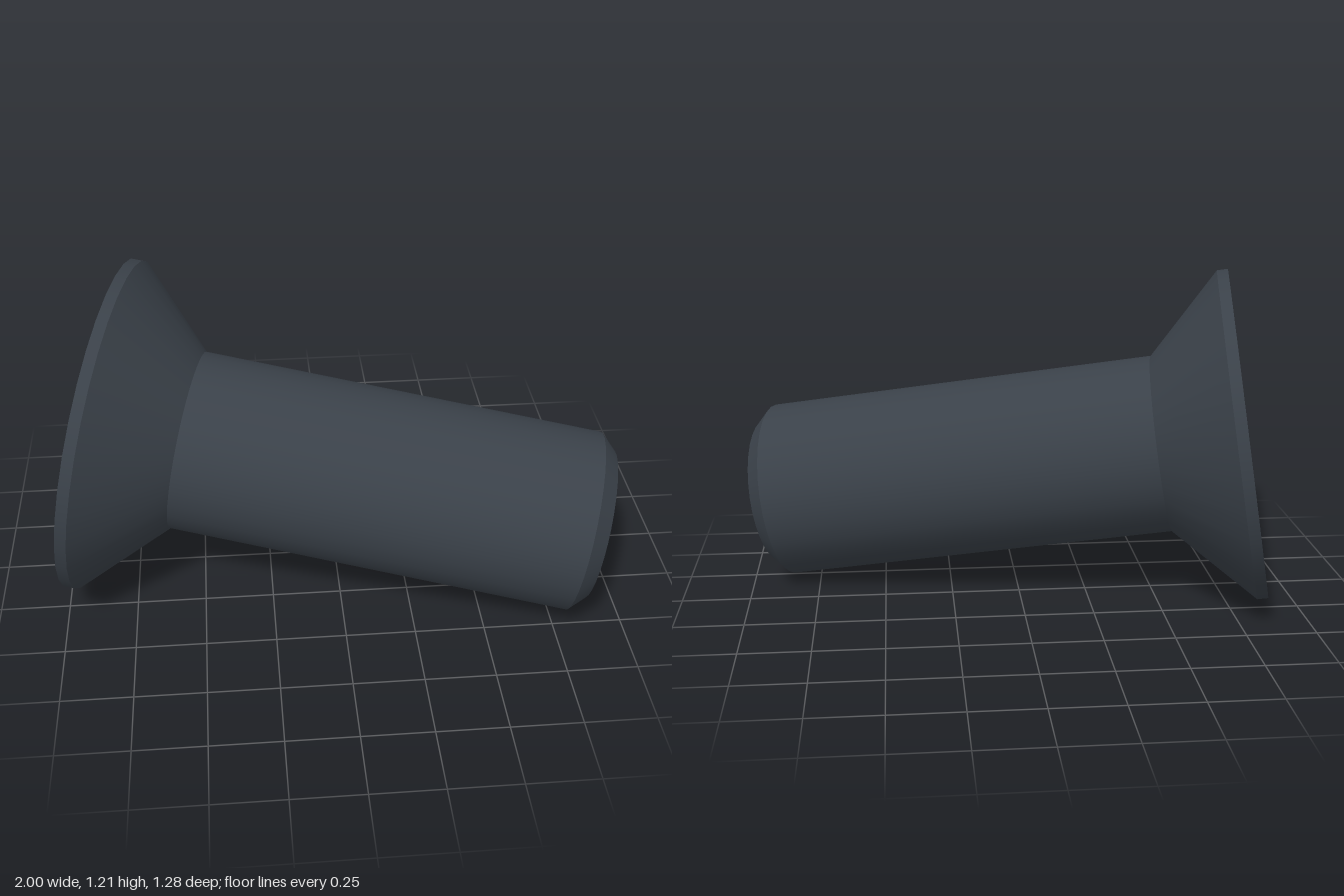
import * as THREE from 'three';

export function createModel() {
  const model = new THREE.Group();
  model.name = 'countersunkScrew';
  const darkSteel = new THREE.MeshStandardMaterial({ color: 0x3a4149 });
  darkSteel.name = 'dark steel';

  const SIDES = 32;
  const HEAD_R = 0.607, SHAFT_R = 0.328, TIP_R = 0.272, LENGTH = 1.834;
  const ARM = 0.3, HALF = 0.065, DEPTH = 0.22; // cross recess

  // The screw is built along local +Y, with the head face at y = 0.
  const screw = new THREE.Group();
  screw.name = 'screw';
  const add = (name, geometry) => {
    const mesh = new THREE.Mesh(geometry, darkSteel);
    mesh.name = name;
    screw.add(mesh);
  };

  // Turned bands, kept separate so the edges between them stay sharp
  const band = (name, r0, y0, r1, y1) => add(name, new THREE.LatheGeometry(
    [new THREE.Vector2(r0, y0), new THREE.Vector2(r1, y1)], SIDES));
  band('headRim', HEAD_R, 0, HEAD_R, 0.04);
  band('headCone', HEAD_R, 0.04, SHAFT_R, 0.319);
  band('shaft', SHAFT_R, 0.319, SHAFT_R, LENGTH - 0.058);
  band('tipChamfer', SHAFT_R, LENGTH - 0.058, TIP_R, LENGTH);

  // Flat end of the shaft
  const tip = new THREE.CircleGeometry(TIP_R, SIDES);
  tip.rotateX(-Math.PI / 2).translate(0, LENGTH, 0);
  add('tipFace', tip);

  // Head face with a cross-shaped opening
  const face = new THREE.Shape(Array.from({ length: SIDES }, (_, i) => {
    const a = (i / SIDES) * Math.PI * 2;
    return new THREE.Vector2(Math.cos(a) * HEAD_R, Math.sin(a) * HEAD_R);
  }));
  const cross = [];
  for (let k = 0; k < 4; k++) {
    for (const [x, y] of [[ARM, -HALF], [ARM, HALF], [HALF, HALF]]) {
      cross.push(new THREE.Vector2(x, y).rotateAround(new THREE.Vector2(), k * Math.PI / 2));
    }
  }
  face.holes.push(new THREE.Path(cross));
  add('headFace', new THREE.ShapeGeometry(face).rotateX(Math.PI / 2));

  // Recess: four sloping arms running down to a small square floor
  const polygon = (corners) => {
    const position = [];
    for (let i = 1; i < corners.length - 1; i++) {
      position.push(...corners[0], ...corners[i], ...corners[i + 1]);
    }
    const g = new THREE.BufferGeometry();
    g.setAttribute('position', new THREE.Float32BufferAttribute(position, 3));
    return g;
  };
  const L = ARM, h = HALF, D = DEPTH;
  const armFaces = {
    recessSlope: [[L, 0, -h], [L, 0, h], [h, D, h], [h, D, -h]],
    recessWallA: [[L, 0, h], [h, 0, h], [h, D, h]],
    recessWallB: [[L, 0, -h], [h, D, -h], [h, 0, -h]],
  };
  for (let k = 0; k < 4; k++) {
    for (const [name, corners] of Object.entries(armFaces)) {
      const g = polygon(corners).rotateY(k * Math.PI / 2);
      g.computeVertexNormals();
      add(name, g);
    }
  }
  const floor = polygon([[h, D, -h], [h, D, h], [-h, D, h], [-h, D, -h]]);
  floor.computeVertexNormals();
  add('recessFloor', floor);

  // Lay the screw down, resting on the head rim and the tip
  const axis = new THREE.Vector3(0.9654, -0.1574, 0.2076).normalize();
  const across = new THREE.Vector3(-axis.z, 0, axis.x).normalize();
  const upward = new THREE.Vector3().crossVectors(across, axis);
  screw.quaternion.setFromRotationMatrix(new THREE.Matrix4().makeBasis(across, axis, upward));
  screw.position.set(-0.842, 0.605, -0.048);
  model.add(screw);
  return model;
}
